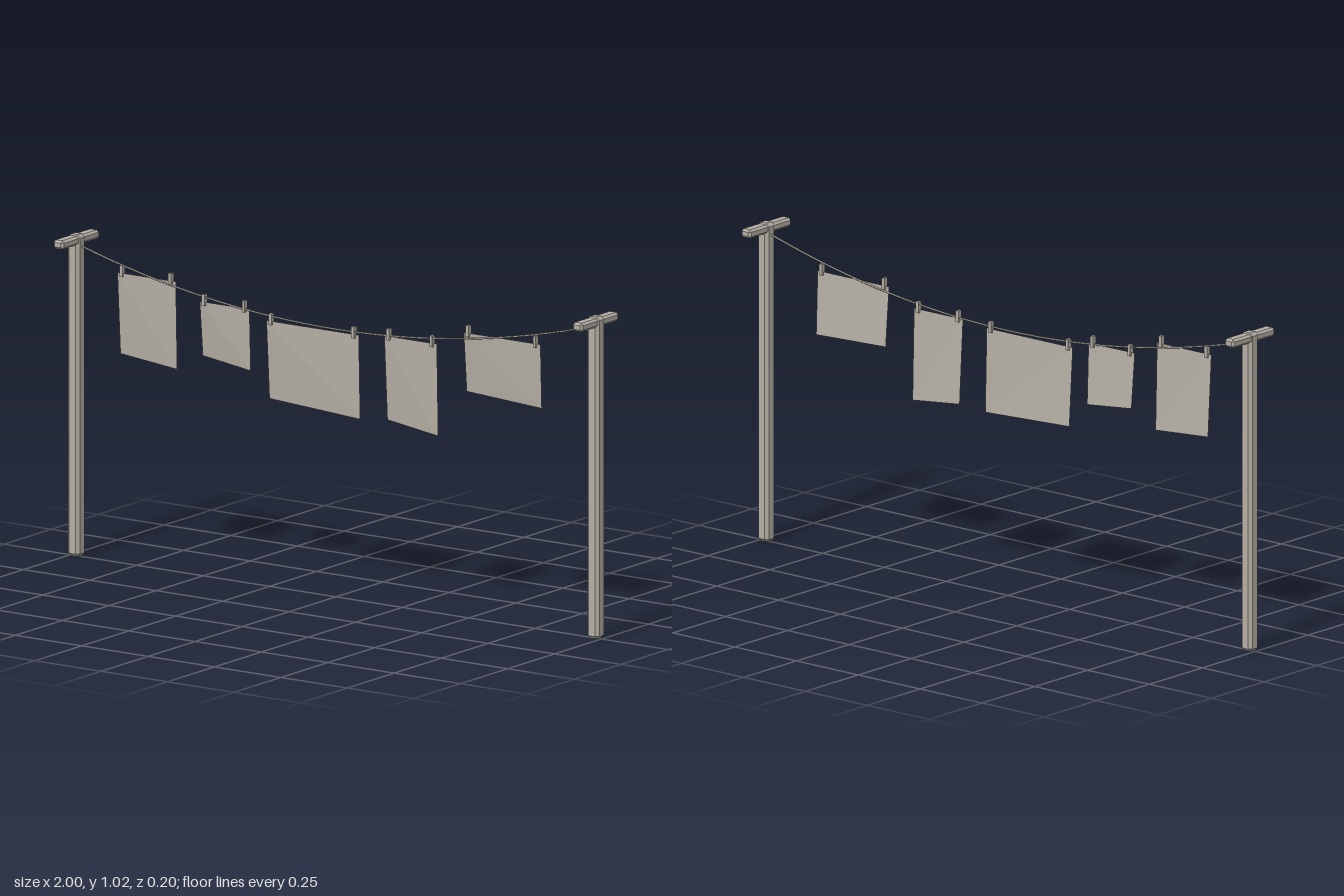
import * as THREE from 'three';
import { ConvexGeometry } from 'three/addons/geometries/ConvexGeometry.js';

const weathered = new THREE.MeshStandardMaterial({ color: 0xb4afa5, side: THREE.DoubleSide });
weathered.name = 'weathered grey';

// Box with every edge and corner cut off at 45 degrees
function chamferedBox(hx, hy, hz, c) {
  const points = [];
  for (const x of [-1, 1]) for (const y of [-1, 1]) for (const z of [-1, 1]) {
    points.push(
      new THREE.Vector3(x * hx, y * (hy - c), z * (hz - c)),
      new THREE.Vector3(x * (hx - c), y * hy, z * (hz - c)),
      new THREE.Vector3(x * (hx - c), y * (hy - c), z * hz)
    );
  }
  return new ConvexGeometry(points);
}

// Hanging sheet whose lower edge swings slightly back
function clothGeometry(x0, x1, top, bottom0, bottom1) {
  const g = new THREE.BufferGeometry();
  g.setAttribute('position', new THREE.Float32BufferAttribute([
    x0, top, 0, x1, top, 0, x1, bottom1, -0.007, x0, bottom0, -0.016,
  ], 3));
  g.setIndex([0, 3, 2, 0, 2, 1]);
  const flat = g.toNonIndexed();
  flat.computeVertexNormals();
  return flat;
}

export function createModel() {
  const group = new THREE.Group();
  const add = (name, geometry, x = 0, y = 0, z = 0) => {
    const mesh = new THREE.Mesh(geometry, weathered);
    mesh.name = name;
    mesh.position.set(x, y, z);
    group.add(mesh);
  };

  // Posts with short crossarms
  for (const [side, s] of [['left', 1], ['right', -1]]) {
    add(side + 'Post', chamferedBox(0.022, 0.508, 0.022, 0.01), s * 0.978, 0.508);
    add(side + 'Crossarm', chamferedBox(0.019, 0.014, 0.1, 0.007), s * 0.978, 0.998);
  }

  // Sagging line
  const points = [];
  for (let i = 0; i <= 16; i++) {
    const t = i / 8 - 1;
    points.push(new THREE.Vector3(t * 0.97, 0.844 + 0.138 * t * t, 0));
  }
  add('clothesLine', new THREE.TubeGeometry(new THREE.CatmullRomCurve3(points), 32, 0.003, 6));

  // Cloths: left x, right x, top, bottom at each side; two pegs each
  const cloths = [
    [-0.823, -0.603, 0.914, 0.655, 0.636],
    [-0.513, -0.326, 0.864, 0.69, 0.668],
    [-0.262, 0.086, 0.837, 0.588, 0.57],
    [0.182, 0.38, 0.848, 0.58, 0.556],
    [0.481, 0.77, 0.898, 0.709, 0.695],
  ];
  const peg = new THREE.BoxGeometry(0.011, 0.036, 0.015);
  cloths.forEach((c, i) => {
    add('cloth' + (i + 1), clothGeometry(...c));
    for (const x of [c[0] + 0.018, c[1] - 0.018]) add('peg', peg, x, c[2] + 0.007);
  });

  return group;
}
